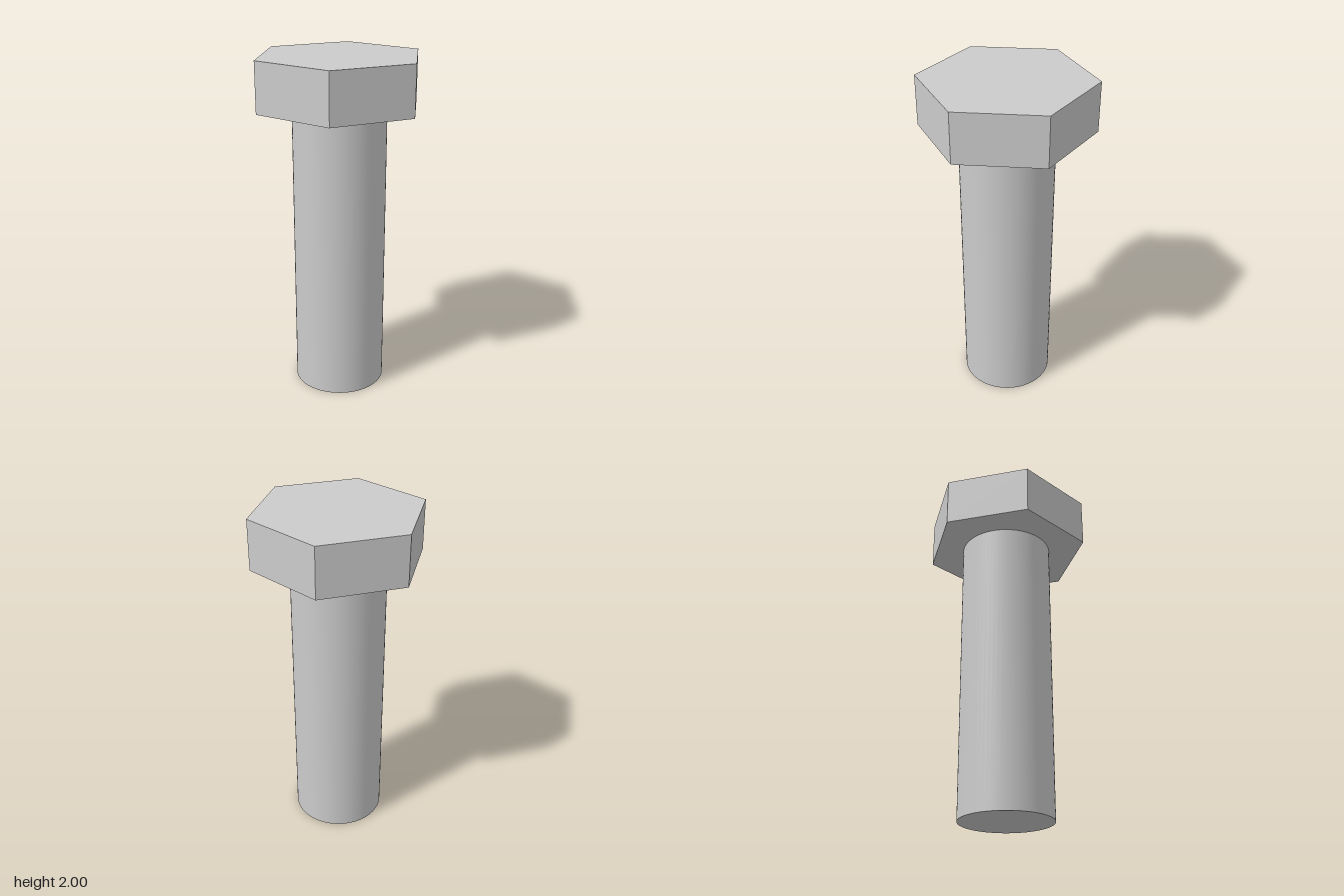
import * as THREE from 'three';

const HEIGHT = 2;
const HEAD_BASE = 1.71;
const HEAD_RADIUS = 0.494; // centre to corner
const SHANK_RADIUS = 0.27;

// Upright prism or cylinder spanning y0 to y1
function column(name, radius, y0, y1, sides, flatShading) {
  // thetaStart puts a corner on the x axis
  const geometry = new THREE.CylinderGeometry(radius, radius, y1 - y0, sides, 1, false, Math.PI / 2);
  geometry.translate(0, (y0 + y1) / 2, 0);
  const material = new THREE.MeshStandardMaterial({ color: 0xcccccc, flatShading });
  const mesh = new THREE.Mesh(geometry, material);
  mesh.name = name;
  return mesh;
}

export function createModel() {
  const bolt = new THREE.Group();
  bolt.name = 'hexBolt';
  // Plain round shank
  bolt.add(column('shank', SHANK_RADIUS, 0, HEAD_BASE, 64, false));
  // Six-sided head
  bolt.add(column('hexHead', HEAD_RADIUS, HEAD_BASE, HEIGHT, 6, true));
  return bolt;
}
